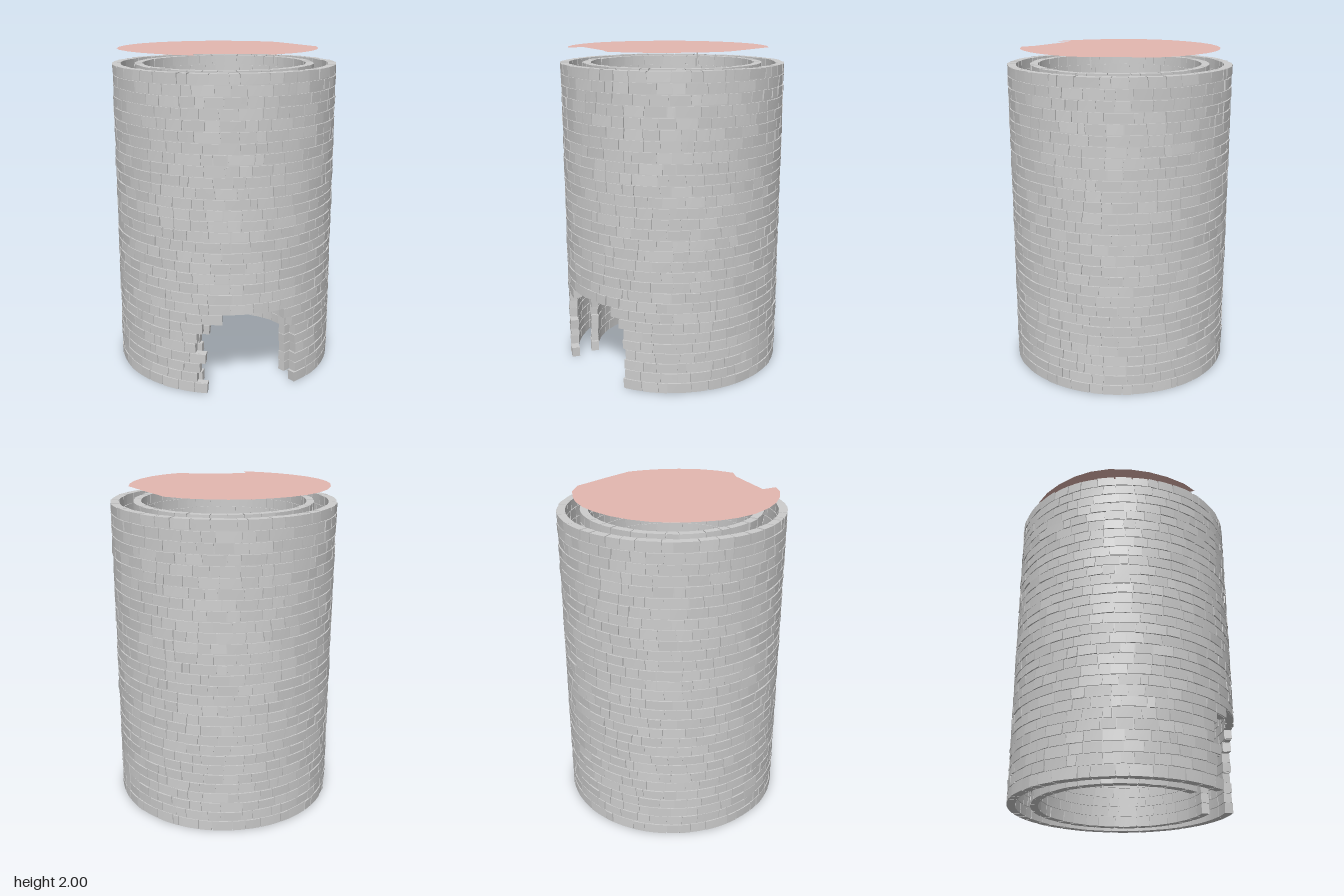
import * as THREE from 'three';
import { mergeGeometries } from 'three/addons/utils/BufferGeometryUtils.js';

const TAU = Math.PI * 2;
const HEIGHT = 1.91, COURSES = 30, STEP = HEIGHT / COURSES;

let seed = 17;
function rnd() {
  seed = (seed * 16807) % 2147483647;
  return seed / 2147483647;
}
const jitter = (amount) => (rnd() - 0.5) * 2 * amount;

// Block bent round the y axis; angle 0 points to the front, tilts skew the outer face
function curvedBlock(a0, a1, y0, y1, rIn, rOut, segments, tiltX = 0, tiltY = 0, skew = 0) {
  const g = new THREE.BoxGeometry(1, 1, 1, segments, 1, 1);
  const p = g.attributes.position;
  for (let i = 0; i < p.count; i++) {
    const u = p.getX(i), v = p.getY(i), w = p.getZ(i);
    const a = a0 + (u + 0.5) * (a1 - a0) + v * skew;
    const r = w > 0 ? rOut + u * tiltX + v * tiltY : rIn;
    p.setXYZ(i, Math.sin(a) * r, y0 + (v + 0.5) * (y1 - y0) + u * tiltX * 0.6, Math.cos(a) * r);
  }
  g.computeVertexNormals();
  return g;
}

// Angles left out by the arched doorway at height y, or null above it
function doorway(y, radius, ragged) {
  if (y > 0.53) return null;
  const t = Math.max(0, (y - 0.22) / 0.31);
  const half = 0.27 * Math.sqrt(1 - t ** 3);
  const left = -0.05 - half - rnd() * ragged;
  const right = -0.05 + half + rnd() * 0.02;
  return [Math.asin(left / radius), Math.asin(right / radius)];
}

// Ring wall of irregular bricks over a recessed core
function ringWall(name, rIn, rOut, perCourse, ragged, stone) {
  const bricks = [], core = [];
  for (let c = 0; c < COURSES; c++) {
    const y0 = c * STEP, y1 = y0 + STEP;
    const door = doorway(y0 + STEP / 2, rOut, ragged);
    const start = door ? door[1] : rnd() * TAU;
    const end = door ? door[0] + TAU : start + TAU;
    const n = Math.round(perCourse * (end - start) / TAU);
    const cuts = [];
    for (let i = 0; i <= n; i++) {
      const wobble = i > 0 && i < n ? jitter(0.32) : 0;
      cuts.push(start + (end - start) * (i + wobble) / n);
    }
    for (let i = 0; i < n; i++) {
      const gap = (0.001 + rnd() * 0.004) / rOut;
      const low = y0 + (c ? 0.002 + rnd() * 0.005 : 0);
      bricks.push(curvedBlock(cuts[i] + gap, cuts[i + 1] - gap, low, y1 - rnd() * 0.003,
        rIn + rnd() * 0.003, rOut - 0.003 + jitter(0.002), 2,
        jitter(0.004), jitter(0.003), jitter(0.008)));
    }
    const top = c === COURSES - 1 ? y1 - 0.008 : y1;
    core.push(curvedBlock(start + 0.01, end - (door ? 0.01 : -0.01), y0 + (c ? 0 : 0.004), top,
      rIn + 0.007, rOut - 0.01, 60));
  }
  const group = new THREE.Group();
  group.name = name;
  const brickMesh = new THREE.Mesh(mergeGeometries(bricks), stone);
  brickMesh.name = name + 'Bricks';
  const coreMesh = new THREE.Mesh(mergeGeometries(core), stone);
  coreMesh.name = name + 'Core';
  group.add(brickMesh, coreMesh);
  return group;
}

export function createModel() {
  seed = 17;
  const stone = new THREE.MeshStandardMaterial({ color: 0xcccccc });
  stone.name = 'grey stone';
  const clay = new THREE.MeshStandardMaterial({ color: 0xe3b7b0, side: THREE.DoubleSide });
  clay.name = 'pale clay';

  const model = new THREE.Group();
  model.name = 'brickTower';

  // Two concentric walls sharing the doorway; the inner opening is a little narrower
  model.add(ringWall('outerWall', 0.637, 0.692, 42, 0.07, stone));
  model.add(ringWall('innerWall', 0.503, 0.555, 34, -0.05, stone));

  // Thin floor sheet above the walls, with a stair notch and a clipped side (x, z)
  const outline = [
    [0.487, -0.335], [0.4, -0.44], [0.3, -0.51], [0.197, -0.565], [0.08, -0.6], [-0.03, -0.61],
    [-0.16, -0.6], [-0.28, -0.565], [-0.387, -0.51], [-0.48, -0.43], [-0.554, -0.335],
    [-0.617, -0.22], [-0.65, -0.11], [-0.658, 0.01], [-0.636, 0.14], [-0.59, 0.26],
    [-0.524, 0.37], [-0.44, 0.47], [-0.357, 0.53], [-0.335, 0.435], [-0.007, 0.55],
    [0.08, 0.612], [0.2, 0.576], [0.3, 0.52], [0.4, 0.43], [0.47, 0.34], [0.524, 0.24],
    [0.563, 0.13], [0.53, -0.09], [0.495, -0.28],
  ];
  const sheet = new THREE.ShapeGeometry(
    new THREE.Shape(outline.map(([x, z]) => new THREE.Vector2(x, -z))));
  const floor = new THREE.Mesh(sheet, clay);
  floor.name = 'upperFloor';
  floor.rotation.x = -Math.PI / 2;
  floor.position.y = 2;
  model.add(floor);

  // Tiny stone splinters under the floor
  for (const [x, y, h] of [[0.293, 1.925, 0.05], [0.303, 1.965, 0.035]]) {
    const splinter = new THREE.Mesh(new THREE.BoxGeometry(0.007, h, 0.007), stone);
    splinter.name = 'splinter';
    splinter.position.set(x, y, 0.1);
    model.add(splinter);
  }
  return model;
}
